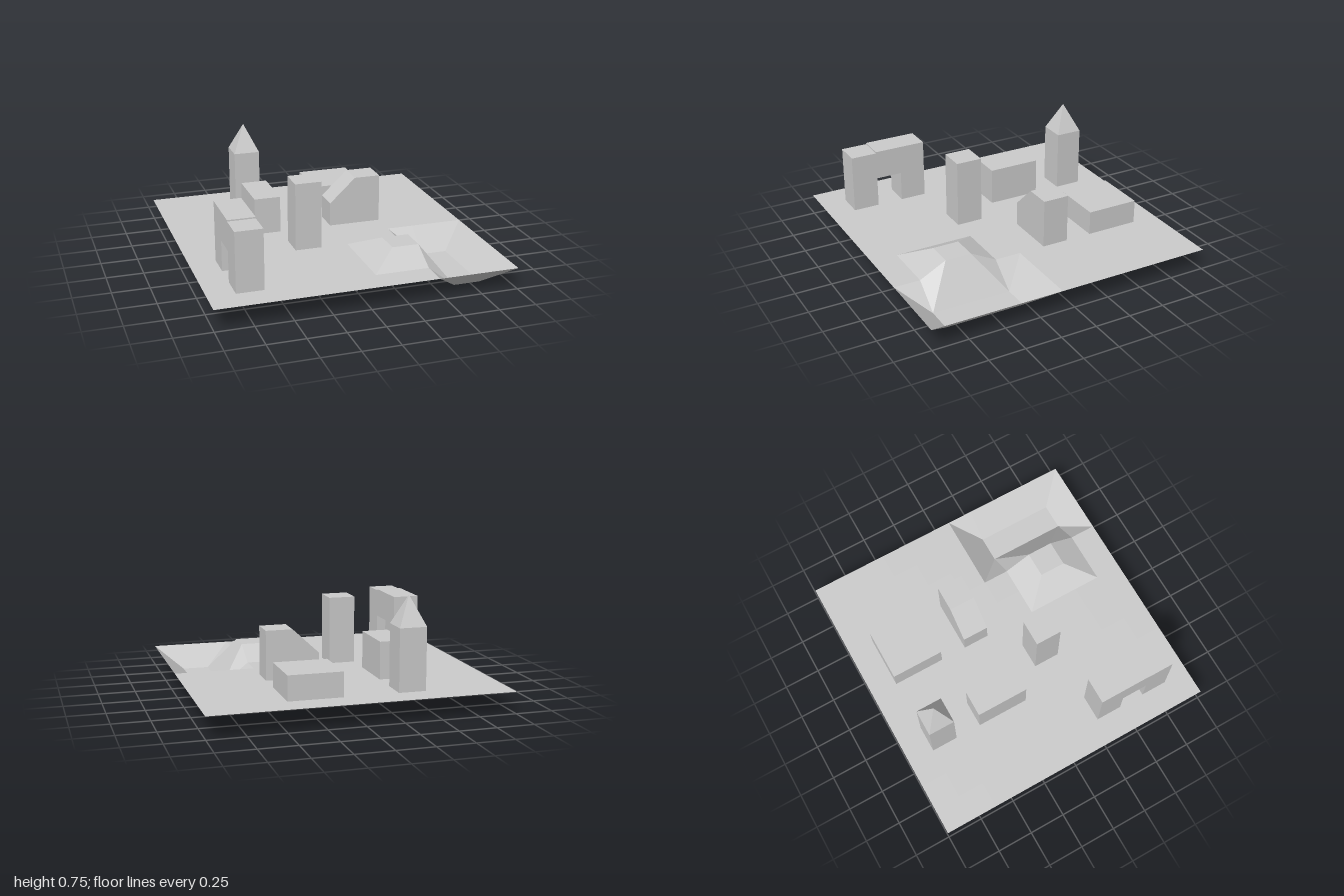
import * as THREE from 'three';

const N = 11;                       // ground cells per side
const CELL = 2 / N;
const G = 0.145;                    // ground level
const at = (k) => -1 + k * CELL;    // grid line to coordinate

const material = new THREE.MeshStandardMaterial({
  color: 0xcccccc, flatShading: true, side: THREE.DoubleSide,
});

function addMesh(parent, name, geometry) {
  const mesh = new THREE.Mesh(geometry, material);
  mesh.name = name;
  parent.add(mesh);
}

// Buildings are open shells: drop every triangle lying on the ground
function openBottom(geometry) {
  const src = geometry.index ? geometry.toNonIndexed() : geometry;
  const p = src.attributes.position;
  const kept = [];
  for (let i = 0; i < p.count; i += 3) {
    if ([0, 1, 2].every((k) => p.getY(i + k) < G + 1e-4)) continue;
    for (let k = 0; k < 3; k++) kept.push(p.getX(i + k), p.getY(i + k), p.getZ(i + k));
  }
  const out = new THREE.BufferGeometry();
  out.setAttribute('position', new THREE.Float32BufferAttribute(kept, 3));
  out.computeVertexNormals();
  return out;
}

// Extrude a profile of [grid line, height] points by a number of cells along +z
function prism(profile, cells) {
  const shape = new THREE.Shape(profile.map(([k, y]) => new THREE.Vector2(at(k), y)));
  return new THREE.ExtrudeGeometry(shape, { depth: cells * CELL, bevelEnabled: false });
}

// Plain block over the cells i0..i1, j0..j1
function block(i0, i1, j0, j1, top) {
  const profile = [[i0, G], [i1, G], [i1, top], [i0, top]];
  return openBottom(prism(profile, j1 - j0).translate(0, 0, at(j0)));
}

// Height of a ground node: basin at 0, hill top at 0.24
function height(i, j) {
  if (i >= 9 && i <= 10 && j >= 7 && j <= 10) return 0;
  if (i >= 7 && i <= 8 && j >= 8 && j <= 9) return 0.24;
  return G;
}

// Ground sheet with openings under the buildings
function groundGeometry(footprints) {
  const crossed = new Set(['6,9', '8,7', '8,10', '10,6']); // cells split the other way
  const pos = [];
  const put = (...nodes) => nodes.forEach(([i, j]) => pos.push(at(i), height(i, j), at(j)));
  for (let i = 0; i < N; i++) {
    for (let j = 0; j < N; j++) {
      if (footprints.some(([a, b, c, d]) => i >= a && i < b && j >= c && j < d)) continue;
      const a = [i, j], b = [i, j + 1], c = [i + 1, j + 1], d = [i + 1, j];
      if (crossed.has(`${i},${j}`)) put(a, b, d, b, c, d);
      else put(a, b, c, a, c, d);
    }
  }
  const geo = new THREE.BufferGeometry();
  geo.setAttribute('position', new THREE.Float32BufferAttribute(pos, 3));
  geo.computeVertexNormals();
  return geo;
}

export function createModel() {
  const model = new THREE.Group();
  model.name = 'village';

  // Ground with hill and basin; footprints as [i0, i1, j0, j1]
  addMesh(model, 'ground', groundGeometry([
    [3, 4, 1, 2], [6, 8, 1, 3], [3, 4, 3, 5], [6, 8, 4, 5],
    [4, 5, 6, 7], [1, 2, 7, 8], [1, 2, 9, 10],
  ]));

  // Flat-roofed blocks
  addMesh(model, 'lowBuilding', block(6, 8, 1, 3, 0.31));
  addMesh(model, 'longBuilding', block(3, 4, 3, 5, 0.4));
  addMesh(model, 'tallBuilding', block(4, 5, 6, 7, 0.61));

  // House with a sloped roof on one side
  const house = prism([[6, G], [8, G], [8, 0.48], [7, 0.48], [6, 0.31]], 1);
  addMesh(model, 'slopedHouse', openBottom(house.translate(0, 0, at(4))));

  // Gateway: two legs and a bridge, the front leg slightly lower
  const gate = prism([
    [7, G], [8, G], [8, 0.355], [9, 0.355], [9, G], [10, G],
    [10, 0.549], [9, 0.549], [9, 0.558], [7, 0.558],
  ], 1);
  addMesh(model, 'gateway', openBottom(gate.rotateY(-Math.PI / 2).translate(at(2), 0, 0)));

  // Square tower with a pyramid spire
  const r = CELL / Math.SQRT2;
  const tower = new THREE.LatheGeometry(
    [[r, G], [r, 0.56], [0, 0.755]].map(([x, y]) => new THREE.Vector2(x, y)), 4, Math.PI / 4);
  addMesh(model, 'spireTower', openBottom(tower.translate(at(3.5), 0, at(1.5))));

  return model;
}
